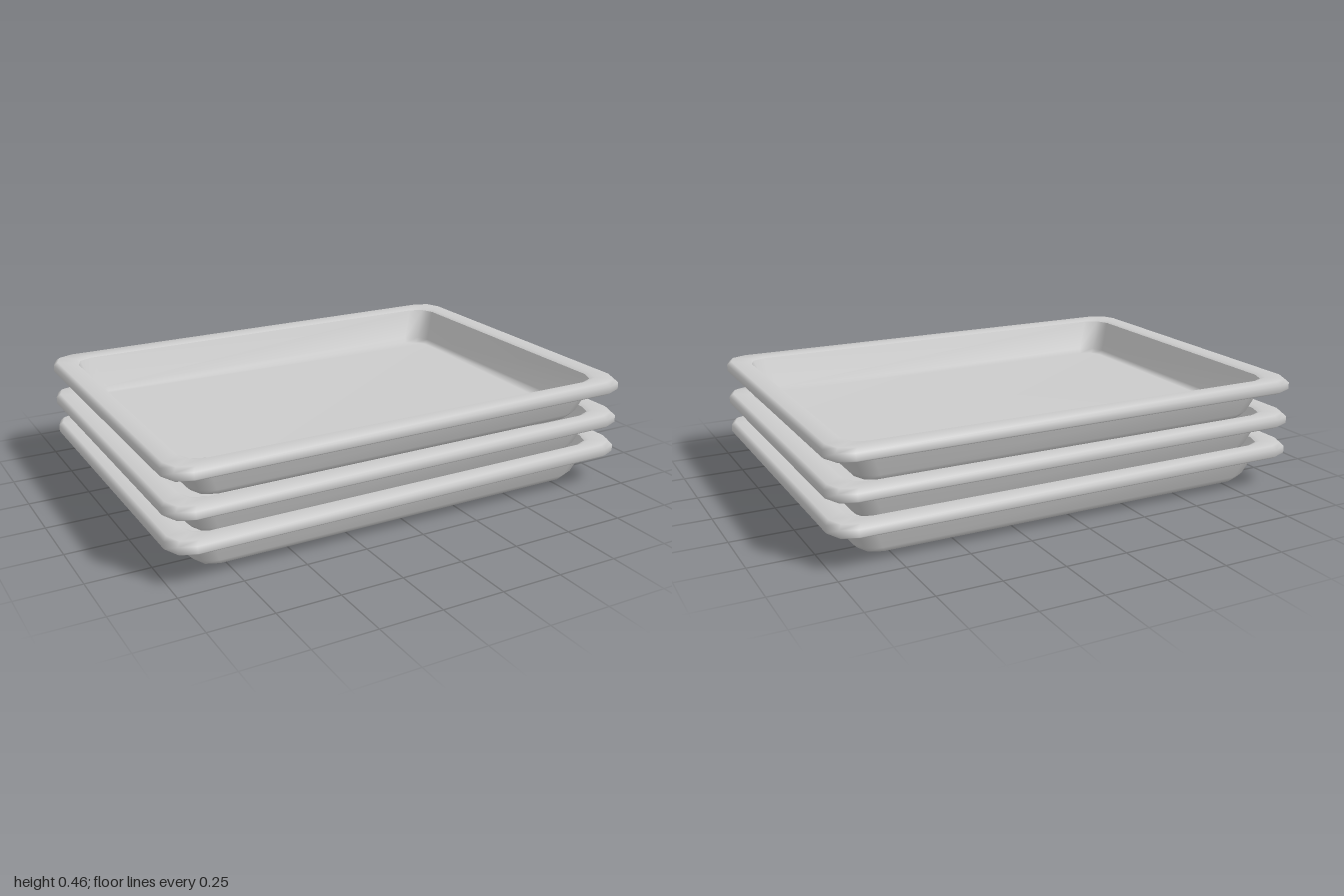
import * as THREE from 'three';

const CORNER_STEPS = 2;

// One rounded-rectangle loop, counter-clockwise seen from above
function ring([hx, hz, y, r]) {
  const pts = [];
  [[1, -1], [-1, -1], [-1, 1], [1, 1]].forEach(([sx, sz], q) => {
    for (let k = 0; k <= CORNER_STEPS; k++) {
      const a = (q + k / CORNER_STEPS) * Math.PI / 2;
      pts.push(sx * (hx - r) + Math.cos(a) * r, y, sz * (hz - r) - Math.sin(a) * r);
    }
  });
  return pts;
}

// Skin a series of loops; optionally close the first or last loop with a flat cap
function skin(sections, cap) {
  const n = 4 * (CORNER_STEPS + 1);
  const index = [];
  for (let i = 0; i < sections.length - 1; i++) {
    for (let j = 0; j < n; j++) {
      const a = i * n + j, b = i * n + (j + 1) % n;
      index.push(a, b, b + n, a, b + n, a + n);
    }
  }
  const last = (sections.length - 1) * n;
  for (let j = 1; j < n - 1; j++) {
    if (cap === 'first') index.push(0, j + 1, j);
    if (cap === 'last') index.push(last, last + j, last + j + 1);
  }
  const geo = new THREE.BufferGeometry();
  geo.setAttribute('position', new THREE.Float32BufferAttribute(sections.flatMap(ring), 3));
  geo.setIndex(index);
  geo.computeVertexNormals();
  return geo;
}

export function createModel() {
  const model = new THREE.Group();
  model.name = 'trayStack';
  const material = new THREE.MeshStandardMaterial({ color: 0xcccccc });

  // Sections: half width, half depth, height, corner radius
  const parts = {
    outerShell: skin([
      [0.825, 0.575, 0, 0.06],
      [0.85, 0.603, 0.008, 0.075],
      [0.872, 0.623, 0.032, 0.085],
      [0.915, 0.655, 0.13, 0.09],
    ], 'first'),
    rimUnderside: skin([
      [0.915, 0.655, 0.13, 0.09],
      [0.993, 0.723, 0.13, 0.09],
    ]),
    rim: skin([
      [0.993, 0.723, 0.13, 0.09],
      [1, 0.73, 0.137, 0.09],
      [1, 0.73, 0.165, 0.09],
      [0.985, 0.715, 0.18, 0.085],
      [0.925, 0.665, 0.18, 0.08],
      [0.91, 0.65, 0.173, 0.08],
    ]),
    basin: skin([
      [0.91, 0.65, 0.173, 0.08],
      [0.862, 0.613, 0.045, 0.08],
      [0.845, 0.6, 0.025, 0.07],
    ], 'last'),
  };

  // Three nested trays
  [0, 0.13, 0.275].forEach((y, i) => {
    const tray = new THREE.Group();
    tray.name = 'tray' + (i + 1);
    tray.position.y = y;
    for (const [name, geo] of Object.entries(parts)) {
      const mesh = new THREE.Mesh(geo, material);
      mesh.name = name;
      tray.add(mesh);
    }
    model.add(tray);
  });
  return model;
}
